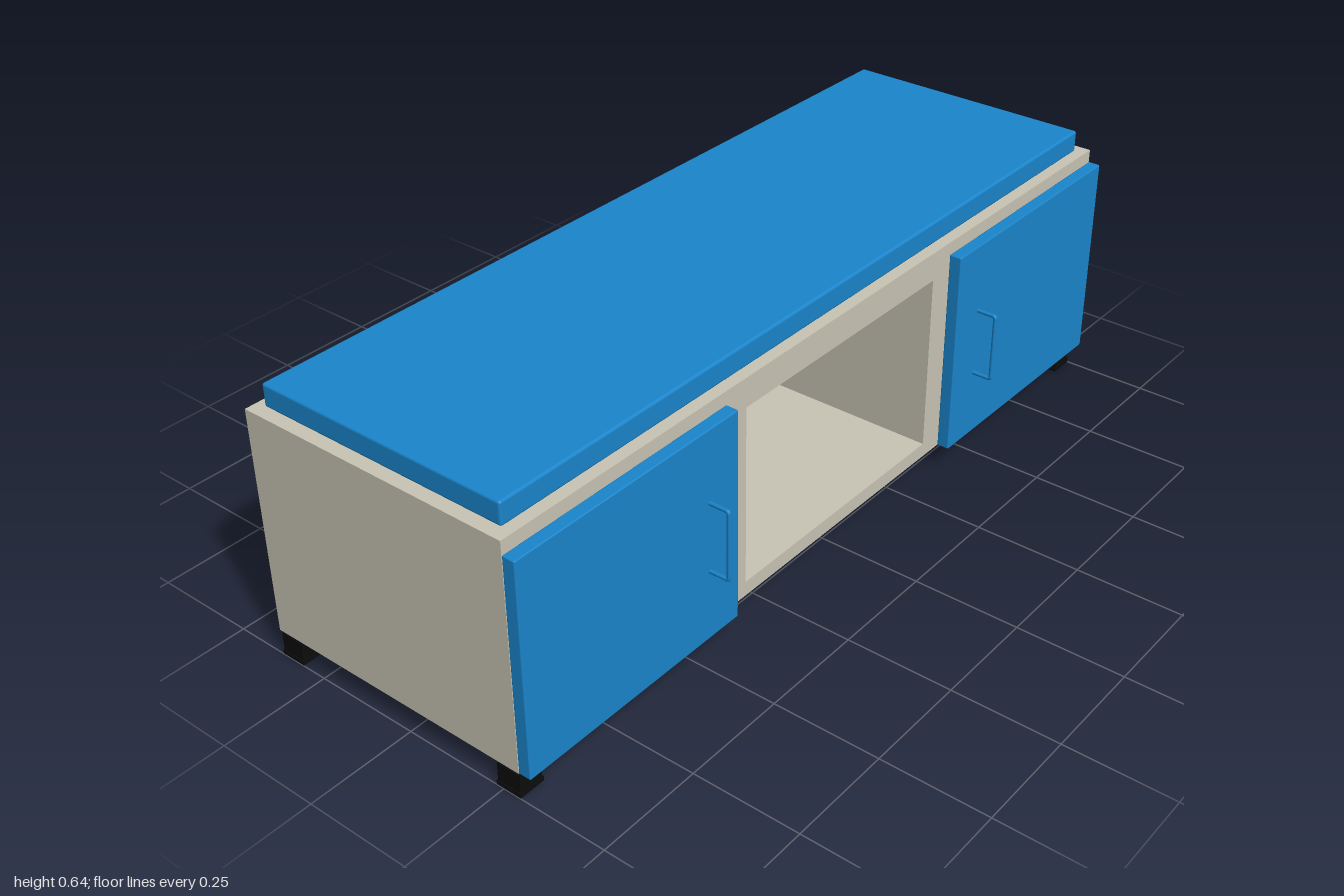
import * as THREE from 'three';
import { RoundedBoxGeometry } from 'three/addons/geometries/RoundedBoxGeometry.js';

const material = (color) => new THREE.MeshStandardMaterial({ color });

export function createModel() {
  const model = new THREE.Group();
  const beige = material(0xc8c4b4);
  const blue = material(0x1a85cb);
  const black = material(0x0c0c0c);

  function add(name, geometry, mat, x = 0, y = 0, z = 0, parent = model) {
    const mesh = new THREE.Mesh(geometry, mat);
    mesh.name = name;
    mesh.position.set(x, y, z);
    parent.add(mesh);
    return mesh;
  }

  function rectangle(path, x0, y0, x1, y1) {
    path.moveTo(x0, y0);
    path.lineTo(x1, y0);
    path.lineTo(x1, y1);
    path.lineTo(x0, y1);
    path.closePath();
    return path;
  }

  // Cabinet body with an open niche in the middle, closed by a back panel
  const back = -0.373, front = 0.293, nicheBack = -0.303;
  const bottom = 0.062, top = 0.59;
  const frame = rectangle(new THREE.Shape(), -1, bottom, 1, top);
  frame.holes.push(rectangle(new THREE.Path(), -0.328, 0.097, 0.328, 0.522));
  add('cabinetBody', new THREE.ExtrudeGeometry(frame, { depth: front - nicheBack, bevelEnabled: false }),
    beige, 0, 0, nicheBack);
  add('backPanel', new THREE.BoxGeometry(2, top - bottom, nicheBack - back),
    beige, 0, (top + bottom) / 2, (nicheBack + back) / 2);

  // Seat cushion
  add('cushion', new RoundedBoxGeometry(1.944, 0.053, 0.618, 3, 0.006), blue, 0, 0.6165, -0.041);

  // Door handle path: a bracket with rounded corners, standing out from the door
  const z0 = 0.318, z1 = 0.3695, y0 = 0.229, y1 = 0.392, r = 0.006;
  const v = (y, z) => new THREE.Vector3(0, y, z);
  const handlePath = new THREE.CurvePath();
  handlePath.add(new THREE.LineCurve3(v(y0, z0), v(y0, z1 - r)));
  handlePath.add(new THREE.QuadraticBezierCurve3(v(y0, z1 - r), v(y0, z1), v(y0 + r, z1)));
  handlePath.add(new THREE.LineCurve3(v(y0 + r, z1), v(y1 - r, z1)));
  handlePath.add(new THREE.QuadraticBezierCurve3(v(y1 - r, z1), v(y1, z1), v(y1, z1 - r)));
  handlePath.add(new THREE.LineCurve3(v(y1, z1 - r), v(y1, z0)));
  const handleGeometry = new THREE.TubeGeometry(handlePath, 120, 0.0047, 10);

  for (const [side, s] of [['left', 1], ['right', -1]]) {
    // Doors and their handles
    add(side + 'Door', new RoundedBoxGeometry(0.61, 0.498, 0.03, 2, 0.003), blue, s * 0.695, 0.311, 0.308);
    add(side + 'Handle', handleGeometry, blue, s * 0.478);

    // Feet: neck, block and slightly wider sole
    for (const [end, z] of [['Front', 0.262], ['Back', -0.343]]) {
      const foot = new THREE.Group();
      foot.name = side + end + 'Foot';
      foot.position.set(s * 0.968, 0, z);
      add('neck', new THREE.CylinderGeometry(0.018, 0.018, 0.012, 20), beige, 0, 0.057, 0, foot);
      add('block', new THREE.BoxGeometry(0.058, 0.043, 0.058), black, 0, 0.0315, 0, foot);
      add('sole', new THREE.BoxGeometry(0.062, 0.01, 0.062), black, 0, 0.005, 0, foot);
      model.add(foot);
    }
  }
  return model;
}
